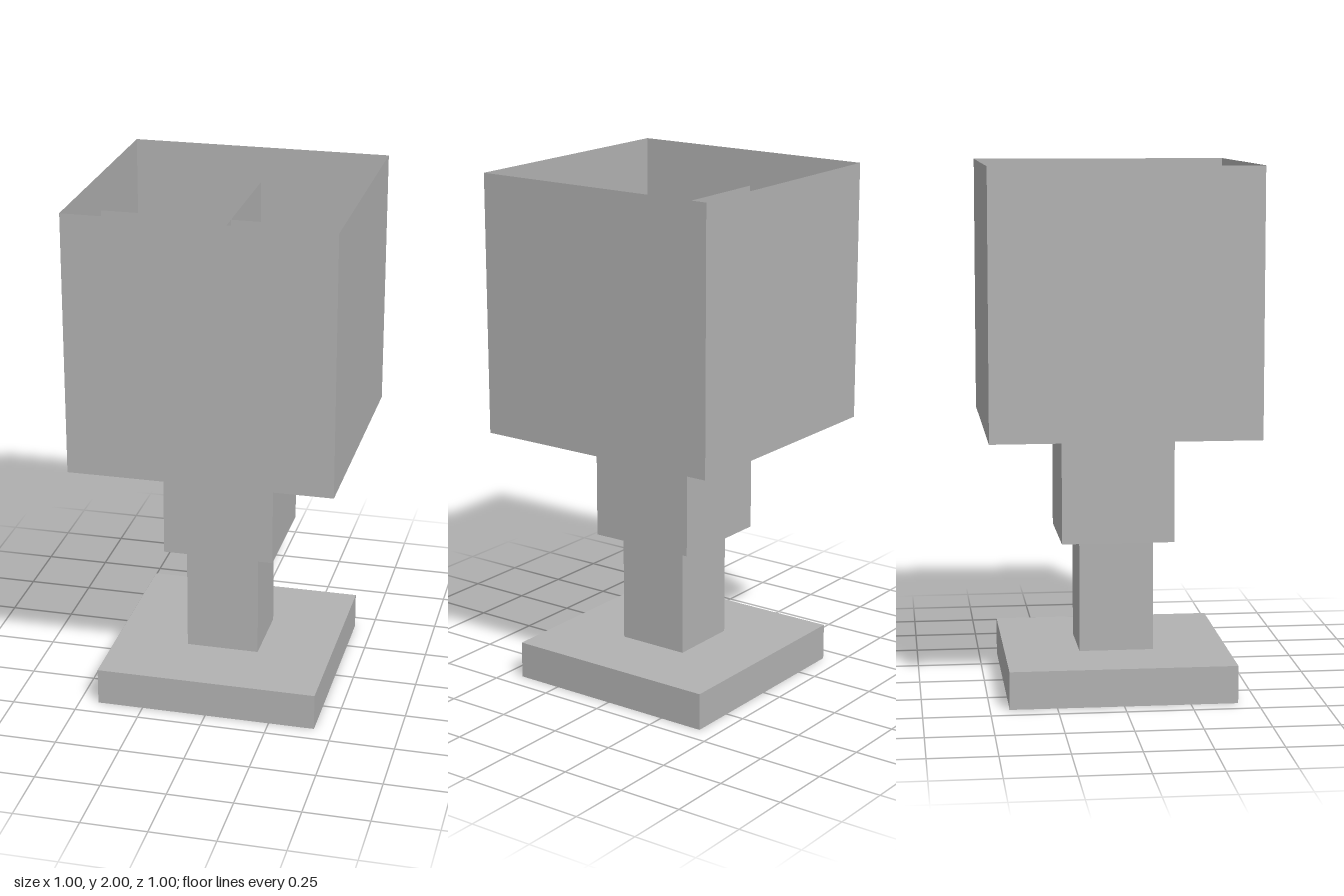
import * as THREE from 'three';

export function createModel() {
  const model = new THREE.Group();
  model.name = 'tableLamp';

  const solidGrey = new THREE.MeshStandardMaterial({ color: 0xb2b2b2 });
  solidGrey.name = 'grey';
  // same grey, for the paper-thin shade and its supports
  const sheetGrey = solidGrey.clone();
  sheetGrey.name = 'grey sheet';
  sheetGrey.side = THREE.DoubleSide;

  // square block standing between two heights
  function block(name, width, bottom, top) {
    const mesh = new THREE.Mesh(new THREE.BoxGeometry(width, top - bottom, width), solidGrey);
    mesh.name = name;
    mesh.position.y = (bottom + top) / 2;
    model.add(mesh);
  }
  block('base', 0.855, 0, 0.143);
  block('stem', 0.283, 0.143, 0.575);
  block('socket', 0.427, 0.575, 1.005);

  // thin upright sheet, turned about y and pushed out from the centre
  function sheet(parent, name, bottom, top, angle, offset) {
    const mesh = new THREE.Mesh(new THREE.PlaneGeometry(1, top - bottom), sheetGrey);
    mesh.name = name;
    mesh.rotation.y = angle;
    mesh.position.set(Math.sin(angle) * offset, (bottom + top) / 2, Math.cos(angle) * offset);
    parent.add(mesh);
  }

  // square shade, open at top and bottom
  const shade = new THREE.Group();
  shade.name = 'shade';
  for (let i = 0; i < 4; i++) sheet(shade, 'shadeWall', 1.005, 2, i * Math.PI / 2, 0.5);
  model.add(shade);

  // crossed supports inside the shade
  const supports = new THREE.Group();
  supports.name = 'shadeSupports';
  for (let i = 0; i < 2; i++) sheet(supports, 'crossSupport', 1.005, 1.86, i * Math.PI / 2, 0);
  model.add(supports);

  return model;
}
